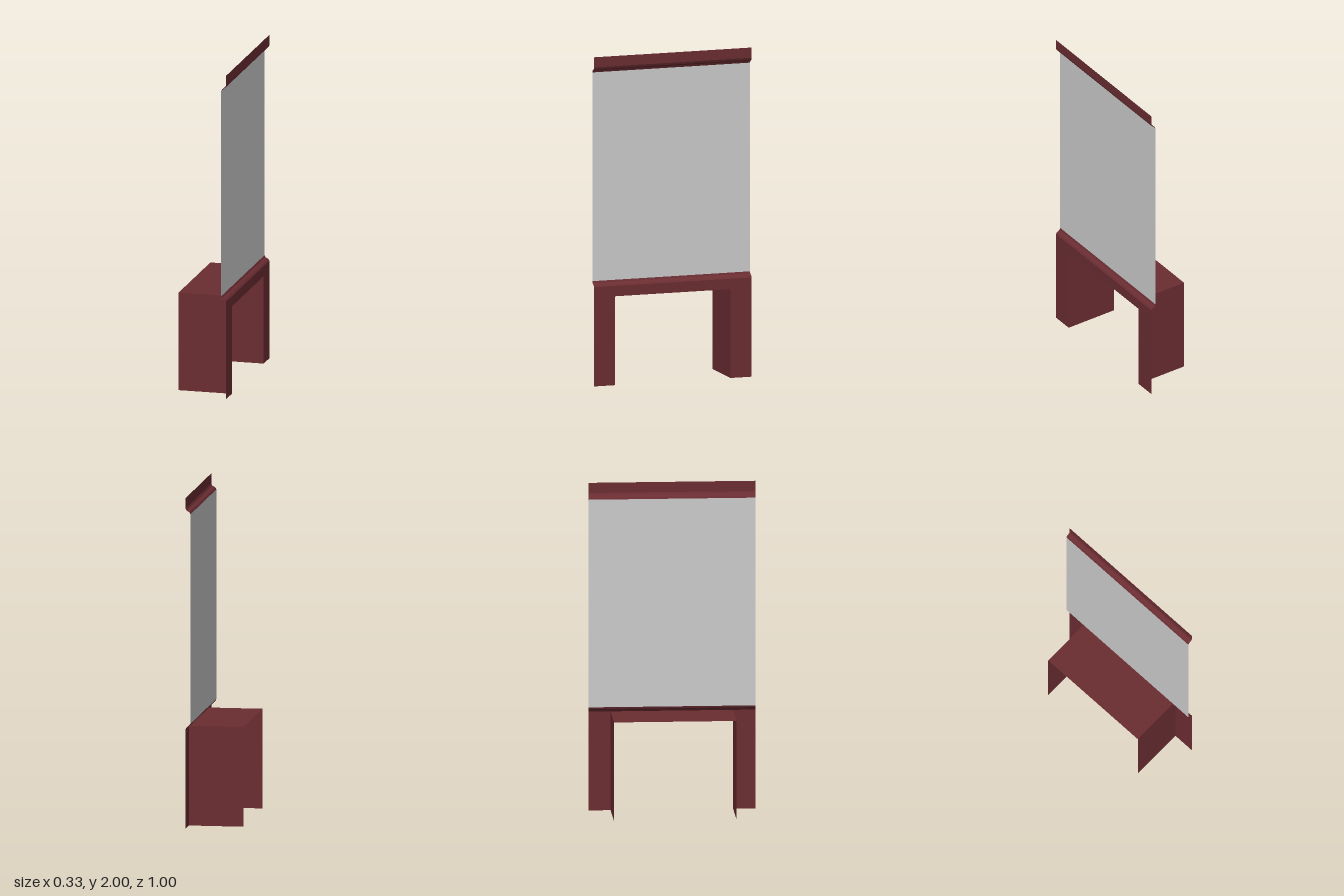
import * as THREE from 'three';

const red = new THREE.MeshStandardMaterial({ color: 0x6b2d32, side: THREE.DoubleSide, flatShading: true });
const grey = new THREE.MeshStandardMaterial({ color: 0xcccccc, side: THREE.DoubleSide, flatShading: true });

const FRONT = 0.165, PANEL = 0.135, BACK = -0.165; // x planes
const HALF = 0.5, INNER = 0.367;                   // z half widths
const SHELF = 0.603, LINTEL = 0.54;                // heights

// Sheet that sweeps an [x, y] profile (top to bottom) along z, facing +x
function sweep(profile) {
  const geo = new THREE.PlaneGeometry(1, 1, 1, profile.length - 1);
  const pos = geo.attributes.position;
  for (let i = 0; i < pos.count; i++) {
    const [x, y] = profile[Math.floor(i / 2)];
    pos.setXYZ(i, x, y, i % 2 ? -HALF : HALF);
  }
  geo.computeVertexNormals();
  return geo;
}

export function createModel() {
  const group = new THREE.Group();
  const add = (name, geo, mat = red) => {
    const mesh = new THREE.Mesh(geo, mat);
    mesh.name = name;
    group.add(mesh);
    return mesh;
  };

  // Flat face with two legs and a lintel around the opening
  const arch = new THREE.Shape([
    [-HALF, 0], [-INNER, 0], [-INNER, LINTEL], [INNER, LINTEL],
    [INNER, 0], [HALF, 0], [HALF, SHELF], [-HALF, SHELF],
  ].map(([x, y]) => new THREE.Vector2(x, y)));
  add('surroundFace', new THREE.ShapeGeometry(arch).rotateY(Math.PI / 2).translate(FRONT, 0, 0));

  // Side walls and roof of the recess, open at front and back
  const depth = FRONT - BACK;
  for (const s of [1, -1]) {
    const wall = add(s > 0 ? 'leftRecessWall' : 'rightRecessWall', new THREE.PlaneGeometry(depth, SHELF));
    wall.position.set(0, SHELF / 2, s * INNER);
    if (s < 0) wall.rotation.y = Math.PI;
  }
  add('recessRoof', new THREE.PlaneGeometry(depth, INNER * 2).rotateX(-Math.PI / 2)).position.y = SHELF;

  // Mouldings stepping between the surround, the panel and the top strip
  add('lowerMoulding', sweep([[PANEL, 0.635], [0.14, 0.623], [0.157, 0.614], [FRONT, SHELF]]));
  add('upperMoulding', sweep([
    [FRONT, 2], [FRONT, 1.938], [0.159, 1.925], [0.141, 1.915], [PANEL, 1.903],
  ]));

  // Tall plain panel
  add('wallPanel', sweep([[PANEL, 1.903], [PANEL, 0.635]]), grey);

  return group;
}
